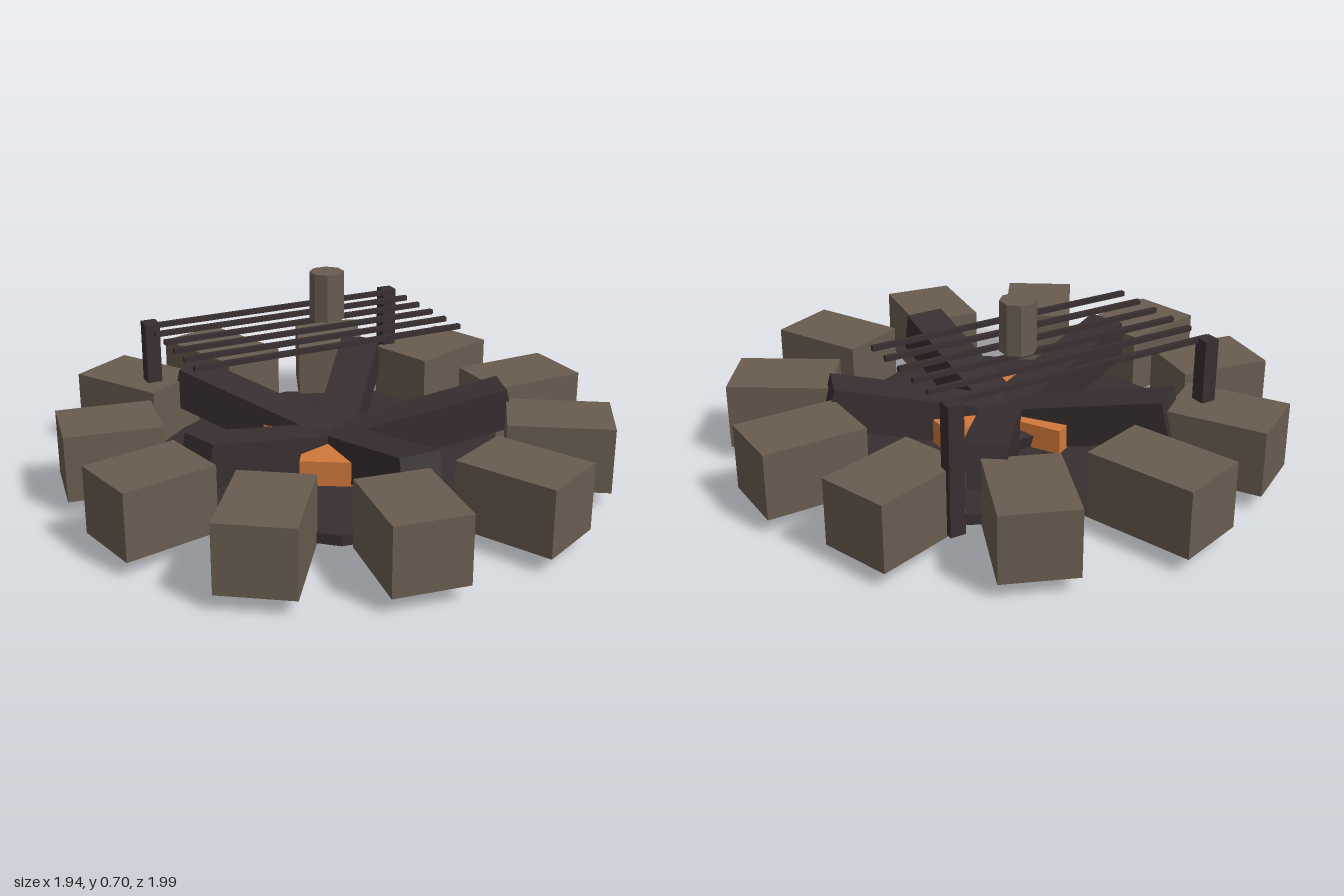
import * as THREE from 'three';

export function createModel() {
  const group = new THREE.Group();
  group.name = 'firePit';

  const material = (name, color) => {
    const m = new THREE.MeshStandardMaterial({ color, flatShading: true });
    m.name = name;
    return m;
  };
  const stone = material('stone', 0x695c4f);
  const char = material('charredWood', 0x382e30);
  const ember = material('ember', 0xd0783a);

  const add = (name, geometry, mat, x, y, z, parent = group) => {
    const mesh = new THREE.Mesh(geometry, mat);
    mesh.name = name;
    mesh.position.set(x, y, z);
    parent.add(mesh);
    return mesh;
  };
  const box = (w, h, d) => new THREE.BoxGeometry(w, h, d);
  const rad = THREE.MathUtils.degToRad;

  // Ring of loosely turned stones: x, z, heading in degrees, length
  const stones = [
    [0.78, 0.02, -1.5, 0.37], [0.64, -0.41, -19, 0.37], [0.32, -0.70, -68, 0.36],
    [-0.13, -0.77, -108.4, 0.4], [-0.54, -0.59, -121, 0.37], [-0.775, -0.2, -171, 0.34],
    [-0.775, 0.24, 168, 0.34], [-0.535, 0.62, 124, 0.375], [-0.13, 0.805, 97.6, 0.345],
    [0.32, 0.745, 64, 0.365], [0.66, 0.455, 32.3, 0.37],
  ];
  for (const [x, z, heading, length] of stones) {
    add('ringStone', box(length, 0.238, 0.26), stone, x, 0.176, z).rotation.y = -rad(heading);
  }

  // Ash bed, an eleven-sided slab with a flat side towards +x
  const ash = new THREE.CylinderGeometry(0.65, 0.65, 0.038, 11);
  ash.rotateY(-Math.PI / 2);
  add('ashBed', ash, char, 0, 0.081, 0.015);

  // Five logs meeting low in the middle and rising outwards
  for (let i = 0; i < 5; i++) {
    const pivot = new THREE.Group();
    pivot.name = 'logArm';
    pivot.position.set(-0.006, 0, 0.015);
    pivot.rotation.y = -rad(90 + i * 72);
    group.add(pivot);
    add('log', box(0.843, 0.15, 0.148), char, 0.222, 0.17, 0, pivot).rotation.z = rad(13.3);
  }

  // Three glowing embers between the logs
  for (let i = 0; i < 3; i++) {
    const pivot = new THREE.Group();
    pivot.name = 'emberArm';
    pivot.position.set(-0.006, 0, 0.015);
    pivot.rotation.y = -rad(i * 120);
    group.add(pivot);
    add('ember', box(0.2, 0.1, 0.2), ember, 0.182, 0.14, 0, pivot);
  }

  // Grill: two back posts carrying six bars
  for (const x of [-0.512, 0.48]) {
    add('grillPost', box(0.055, 0.46, 0.055), char, x, 0.294, -0.498);
  }
  for (let i = 0; i < 6; i++) {
    add('grillBar', box(1.035, 0.018, 0.018), char, -0.016, 0.515, 0.025 - i * 0.1);
  }

  // Octagonal cup standing on the grill
  const cup = new THREE.CylinderGeometry(0.064, 0.064, 0.18, 8);
  cup.rotateY(Math.PI / 8);
  add('cup', cup, stone, 0.095, 0.614, -0.253);

  return group;
}
